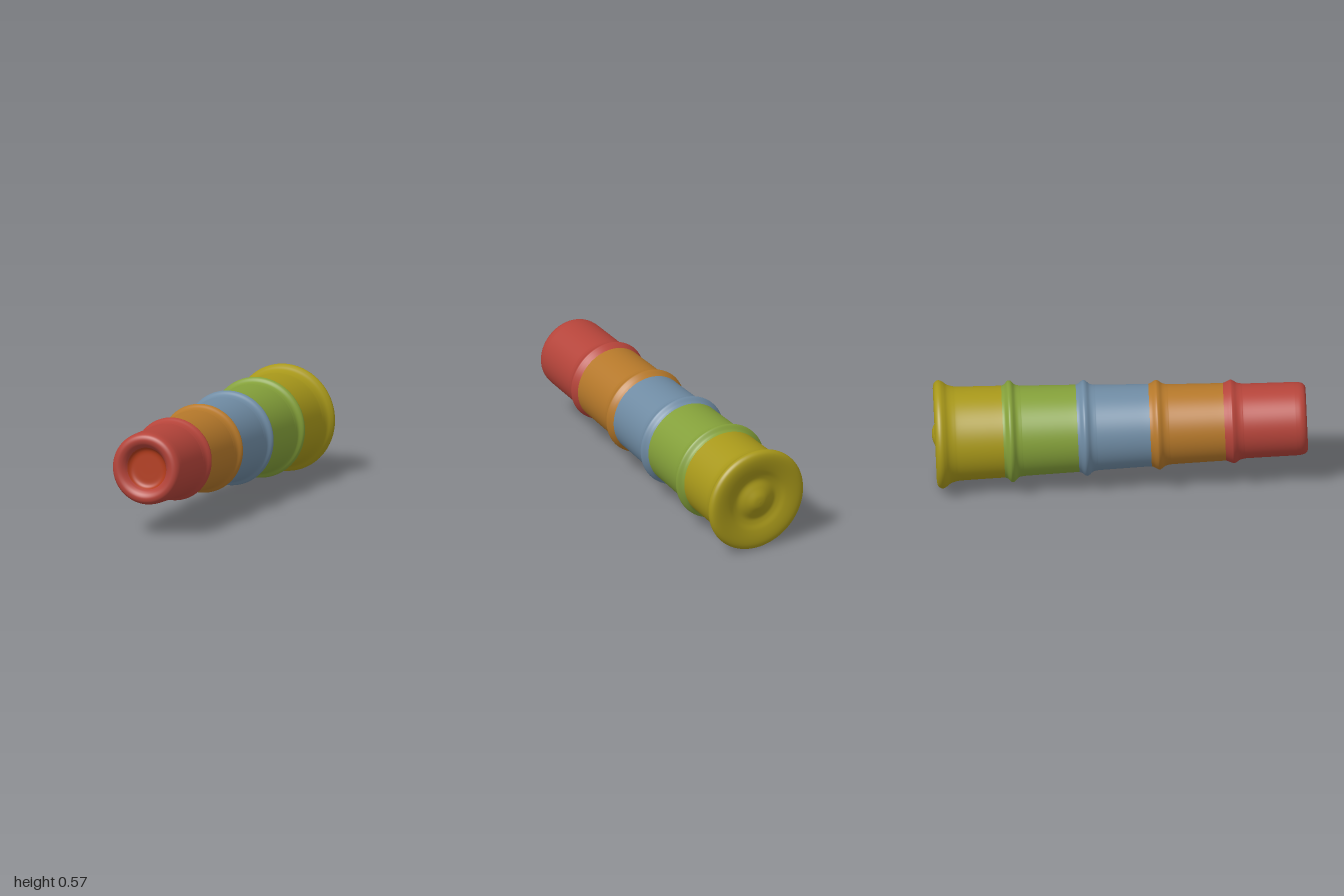
import * as THREE from 'three';

// Turn a smooth profile of [radius, z] points (back to front) around the z axis
function turned(name, color, points, samples) {
  const curve = new THREE.SplineCurve(points.map(([r, z]) => new THREE.Vector2(r, z)));
  const profile = curve.getPoints(samples);
  profile.forEach((p) => { p.x = Math.max(p.x, 0); });
  const geometry = new THREE.LatheGeometry(profile, 72);
  geometry.rotateX(Math.PI / 2);
  const material = new THREE.MeshStandardMaterial({ color, side: THREE.DoubleSide });
  const mesh = new THREE.Mesh(geometry, material);
  mesh.name = name;
  return mesh;
}

// Flared lip at the back of a cup, running into its straight wall
function lip(z, rim, wall, nextWall) {
  return [
    [nextWall, z - 0.04], [nextWall + 0.006, z - 0.025], [rim - 0.003, z - 0.008],
    [rim, z + 0.002], [rim - 0.005, z + 0.014], [wall + 0.007, z + 0.032],
    [wall + 0.001, z + 0.055], [wall - 0.001, z + 0.09],
  ];
}

export function createModel() {
  const model = new THREE.Group();
  model.name = 'stackingCups';

  const cups = [
    { name: 'redCup', color: 0xb5443a, z: 0.595, rim: 0.222, wall: 0.199, front: 0.194 },
    { name: 'orangeCup', color: 0xb5782a, z: 0.2, rim: 0.238, wall: 0.213, front: 0.206 },
    { name: 'blueCup', color: 0x6f8ba3, z: -0.185, rim: 0.254, wall: 0.227, front: 0.219 },
    { name: 'greenCup', color: 0x84a03a, z: -0.58, rim: 0.27, wall: 0.24, front: 0.232 },
    { name: 'yellowCup', color: 0xa8981a, z: -0.95, rim: 0.287, wall: 0.25, front: 0.244 },
  ];

  cups.forEach((cup, i) => {
    let points;
    if (i < cups.length - 1) {
      points = lip(cup.z, cup.rim, cup.wall, cups[i + 1].front);
    } else {
      // Closed back: central dome, ring groove and rounded outer rim
      points = [
        [0, -0.998], [0.035, -0.993], [0.075, -0.973], [0.11, -0.957], [0.14, -0.96],
        [0.175, -0.973], [0.215, -0.981], [0.25, -0.982], [0.274, -0.975],
        [0.286, -0.96], [0.286, -0.944], [0.277, -0.928], [0.262, -0.908],
        [0.253, -0.88], [0.249, -0.84],
      ];
    }
    if (i > 0) {
      // Wall tapers up to the lip of the next smaller cup
      const end = cups[i - 1].z - 0.04;
      points.push([cup.front + 0.001, end - 0.06], [cup.front, end]);
    } else {
      // Rounded nose leading into the dished end
      points.push(
        [0.195, 0.9], [0.194, 0.94], [0.19, 0.967], [0.178, 0.985],
        [0.158, 0.992], [0.138, 0.986], [0.122, 0.972], [0.112, 0.957],
      );
    }
    model.add(turned(cup.name, cup.color, points, 110));
  });

  // Floor of the front dish
  model.add(turned('frontDish', 0xb23c1c,
    [[0.112, 0.957], [0.102, 0.945], [0.085, 0.938], [0.05, 0.937], [0, 0.937]], 24));

  // The stack lies on its side, so its axis leans slightly
  const axis = new THREE.Vector3(-0.031, 0.039, 1).normalize();
  model.quaternion.setFromUnitVectors(new THREE.Vector3(0, 0, 1), axis);
  model.position.set(-0.031, 0.326, 0);

  const group = new THREE.Group();
  group.add(model);
  return group;
}
